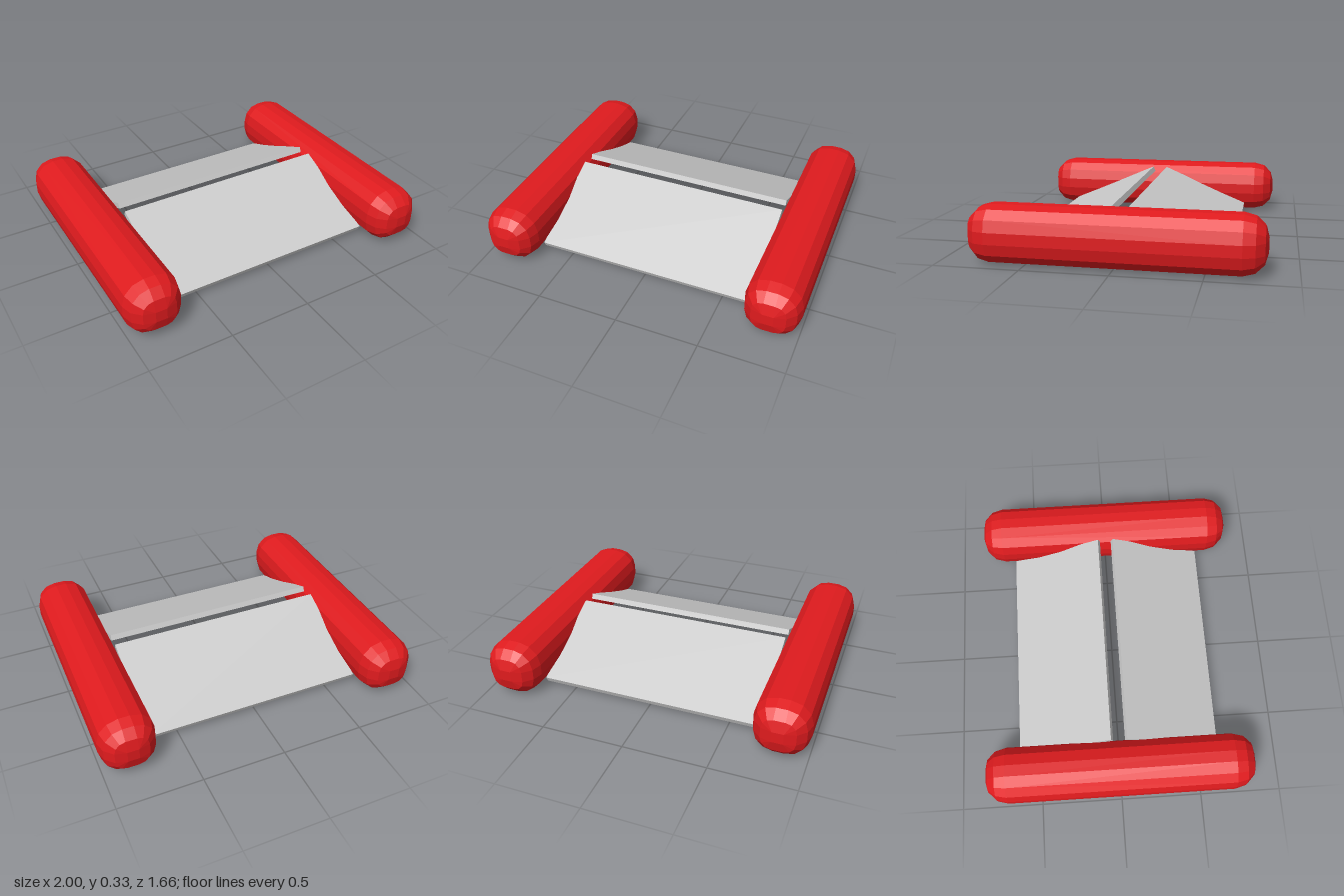
import * as THREE from 'three';
import { ConvexGeometry } from 'three/addons/geometries/ConvexGeometry.js';

// Box whose edges and corners are rounded in three flat steps
function roundedBar(w, h, d, r) {
  const points = [];
  const ball = new THREE.SphereGeometry(r, 12, 6).rotateX(Math.PI / 2).getAttribute('position');
  for (const sx of [-1, 1]) for (const sy of [-1, 1]) for (const sz of [-1, 1]) {
    for (let i = 0; i < ball.count; i++) {
      const p = new THREE.Vector3().fromBufferAttribute(ball, i);
      // keep only the octant that faces outward at this corner
      if (p.x * sx < -1e-6 || p.y * sy < -1e-6 || p.z * sz < -1e-6) continue;
      p.add(new THREE.Vector3(sx * (w / 2 - r), sy * (h / 2 - r), sz * (d / 2 - r)));
      if (!points.some((q) => q.distanceToSquared(p) < 1e-8)) points.push(p);
    }
  }
  return new ConvexGeometry(points);
}

export function createModel() {
  const model = new THREE.Group();
  const red = new THREE.MeshStandardMaterial({ color: 0xe01b1e, flatShading: true });
  const grey = new THREE.MeshStandardMaterial({ color: 0xcccccc, flatShading: true });

  // Side rails
  const railGeometry = roundedBar(0.333, 0.333, 1.66, 0.133);
  for (const side of [-1, 1]) {
    const rail = new THREE.Mesh(railGeometry, red);
    rail.name = side > 0 ? 'leftRail' : 'rightRail';
    rail.position.set(side * 0.8335, 0.1665, 0);
    model.add(rail);
  }

  // Two ramps leaning towards each other, with a narrow gap at the ridge
  const rampGeometry = new THREE.BoxGeometry(1.366, 0.034, 0.632);
  for (const end of [-1, 1]) {
    const ramp = new THREE.Mesh(rampGeometry, grey);
    ramp.name = end > 0 ? 'frontRamp' : 'backRamp';
    ramp.position.set(0, 0.17, end * 0.333);
    ramp.rotation.x = end * 0.407;
    model.add(ramp);
  }

  return model;
}
